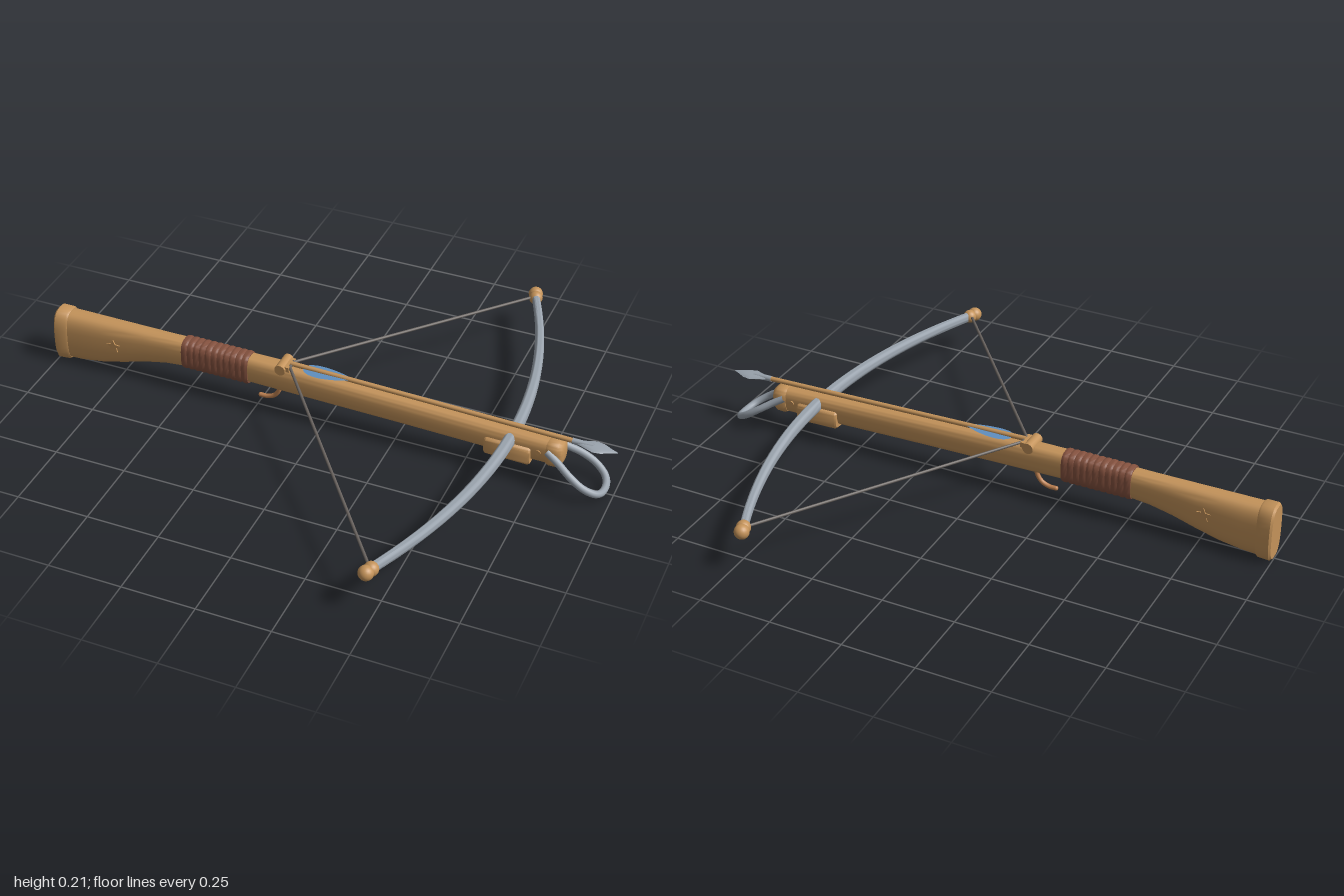
import * as THREE from 'three';
import { toCreasedNormals } from 'three/addons/utils/BufferGeometryUtils.js';

const material = (name, color, side = THREE.FrontSide) => {
  const m = new THREE.MeshStandardMaterial({ color, side });
  m.name = name;
  return m;
};
const V = (x, y, z) => new THREE.Vector3(x, y, z);

// Loft of rounded-rectangle sections along x; each row is [x, bottom, top, halfWidth]
function loft(rows, power = 3, sides = 32) {
  const pos = [], idx = [];
  const soft = (v) => Math.sign(v) * Math.pow(Math.abs(v), 2 / power);
  for (const [x, bottom, top, half] of rows) {
    for (let j = 0; j < sides; j++) {
      const a = (j / sides) * Math.PI * 2;
      pos.push(x, (bottom + top) / 2 + soft(Math.cos(a)) * (top - bottom) / 2, soft(Math.sin(a)) * half);
    }
  }
  const last = rows.length - 1;
  for (const r of [rows[0], rows[last]]) pos.push(r[0], (r[1] + r[2]) / 2, 0);
  const c0 = rows.length * sides, c1 = c0 + 1;
  for (let j = 0; j < sides; j++) {
    const k = (j + 1) % sides;
    for (let i = 0; i < last; i++) {
      const a = i * sides + j, b = i * sides + k;
      idx.push(a, b, a + sides, b, b + sides, a + sides);
    }
    idx.push(c0, k, j, c1, last * sides + j, last * sides + k);
  }
  const g = new THREE.BufferGeometry();
  g.setAttribute('position', new THREE.Float32BufferAttribute(pos, 3));
  g.setIndex(idx);
  return toCreasedNormals(g, 0.7);
}

// Straight round bar between two points
function bar(a, b, radius) {
  const g = new THREE.CylinderGeometry(radius, radius, a.distanceTo(b), 12);
  const q = new THREE.Quaternion().setFromUnitVectors(V(0, 1, 0), b.clone().sub(a).normalize());
  const mid = a.clone().add(b).multiplyScalar(0.5);
  return g.applyQuaternion(q).translate(mid.x, mid.y, mid.z);
}

const tube = (points, radius, n = 48) =>
  new THREE.TubeGeometry(new THREE.CatmullRomCurve3(points), n, radius, 10);

export function createModel() {
  const group = new THREE.Group();
  const wood = material('wood', 0xc4935a);
  const leather = material('leather', 0x85523f);
  const steel = material('steel', 0x9aa3ad);
  const cord = material('cord', 0x68625e);
  const blue = material('feather blue', 0x5f8fc0, THREE.DoubleSide);
  const copper = material('copper', 0xbd8050);
  const add = (name, geometry, mat) => {
    const mesh = new THREE.Mesh(geometry, mat);
    mesh.name = name;
    group.add(mesh);
    return mesh;
  };

  // Stock, butt plate, fore block and nose cap
  add('stock', loft([
    [-0.97, 0.01, 0.195, 0.048], [-0.9, 0.014, 0.195, 0.047], [-0.82, 0.026, 0.195, 0.045],
    [-0.74, 0.047, 0.195, 0.042], [-0.66, 0.071, 0.195, 0.039], [-0.58, 0.088, 0.195, 0.036],
    [-0.5, 0.096, 0.196, 0.035], [-0.27, 0.098, 0.197, 0.035], [-0.12, 0.096, 0.196, 0.037],
    [0.3, 0.088, 0.183, 0.037], [0.6, 0.08, 0.173, 0.037], [0.8, 0.078, 0.166, 0.036],
  ]), wood);
  add('buttPlate', loft([
    [-1, 0.008, 0.194, 0.046], [-0.993, 0.001, 0.201, 0.052],
    [-0.955, 0.004, 0.201, 0.052], [-0.948, 0.01, 0.197, 0.048],
  ]), wood);
  add('foreBlock', loft([
    [0.57, 0.076, 0.134, 0.046], [0.576, 0.071, 0.138, 0.05],
    [0.72, 0.067, 0.135, 0.05], [0.726, 0.071, 0.131, 0.046],
  ], 5), wood);
  add('noseCap', loft([
    [0.775, 0.078, 0.166, 0.038], [0.785, 0.073, 0.169, 0.043],
    [0.812, 0.074, 0.168, 0.043], [0.825, 0.082, 0.16, 0.036], [0.83, 0.095, 0.147, 0.024],
  ]), wood);

  // Ribbed grip wrap
  const wrapRows = [];
  const ribs = 11;
  for (let i = 0; i <= ribs * 4; i++) {
    const swell = 0.003 * Math.abs(Math.sin((i / 4) * Math.PI));
    wrapRows.push([-0.515 + (0.245 * i) / (ribs * 4), 0.092 - swell, 0.2 + swell, 0.038 + swell]);
  }
  add('gripWrap', loft(wrapRows), leather);

  // Bow limbs: a tapered loft turned across the stock and bent backward
  const bend = (z) => 0.652 - 0.18 * (z / 0.78) ** 2;
  const limbRows = [];
  for (let i = 0; i <= 32; i++) {
    const t = -0.78 + (1.56 * i) / 32;
    const s = 1 - 0.25 * Math.abs(t / 0.78);
    limbRows.push([t, 0.142 - 0.024 * s, 0.142 + 0.024 * s, 0.02 * s]);
  }
  const bow = loft(limbRows, 2.2, 20).rotateY(Math.PI / 2);
  const p = bow.attributes.position;
  for (let i = 0; i < p.count; i++) p.setX(i, p.getX(i) + bend(p.getZ(i)));
  add('bow', bow, steel);

  // Nut holding the string
  add('nut', new THREE.CylinderGeometry(0.019, 0.019, 0.076, 20).rotateX(Math.PI / 2).translate(-0.15, 0.192, 0), wood);
  add('nutBlock', new THREE.BoxGeometry(0.04, 0.018, 0.06).translate(-0.14, 0.196, 0), wood);

  // Mirrored details: limb tips, strings, pins, stars, feathers
  const star = new THREE.Shape();
  for (let i = 0; i < 10; i++) {
    const a = Math.PI / 2 + (i * Math.PI) / 5, r = i % 2 ? 0.012 : 0.026;
    star[i ? 'lineTo' : 'moveTo'](r * Math.cos(a), r * Math.sin(a));
  }
  const starGeo = new THREE.ExtrudeGeometry(star, { depth: 0.006, bevelEnabled: false });
  const feather = new THREE.Shape();
  feather.moveTo(-0.08, 0);
  feather.bezierCurveTo(-0.075, 0.045, 0.02, 0.042, 0.11, 0);
  for (const s of [1, -1]) {
    add('limbTipInner', new THREE.SphereGeometry(0.024, 20, 14).translate(0.475, 0.142, s * 0.775), wood);
    add('limbTipOuter', new THREE.SphereGeometry(0.025, 20, 14).translate(0.467, 0.142, s * 0.798), wood);
    add('string', bar(V(0.466, 0.145, s * 0.77), V(-0.122, 0.2, s * 0.016), 0.005), cord);
    add('pin', new THREE.CylinderGeometry(0.009, 0.009, 0.006, 14).rotateX(Math.PI / 2).translate(0.75, 0.125, s * 0.037), wood);
    const emblem = add('starStud', starGeo, wood);
    emblem.position.set(-0.77, 0.122, s * 0.0425);
    if (s < 0) emblem.rotation.y = Math.PI;
    emblem.translateZ(-0.002);
    const vane = add('feather', new THREE.ShapeGeometry(feather, 16), blue);
    vane.position.set(0, 0.201, 0);
    vane.rotation.x = s * (Math.PI / 2 + 0.12);
    vane.rotation.z = -0.02;
  }
  add('stringCentre', bar(V(-0.122, 0.2, -0.018), V(-0.122, 0.2, 0.018), 0.006), cord);

  // Bolt with a leaf-shaped head
  add('boltShaft', bar(V(-0.125, 0.204, 0), V(0.87, 0.178, 0), 0.0085), wood);
  add('boltSocket', bar(V(0.85, 0.178, 0), V(0.92, 0.176, 0), 0.01), steel);
  add('boltHead', loft([
    [0.86, 0.17, 0.184, 0.007], [0.89, 0.168, 0.184, 0.018], [0.925, 0.168, 0.183, 0.031],
    [0.95, 0.168, 0.181, 0.026], [0.98, 0.17, 0.178, 0.01], [1, 0.1735, 0.1745, 0.001],
  ], 1.5, 16), steel);

  // Foot stirrup
  const half = [V(0.78, 0.138, 0.038), V(0.82, 0.115, 0.05), V(0.87, 0.085, 0.069), V(0.915, 0.056, 0.073), V(0.952, 0.032, 0.055), V(0.967, 0.021, 0.025)];
  const mirrored = half.map((v) => V(v.x, v.y, -v.z)).reverse();
  add('stirrup', tube([...half, ...mirrored], 0.0125, 72), steel);

  // Curved trigger
  add('trigger', tube([V(-0.165, 0.11, 0), V(-0.17, 0.08, 0), V(-0.186, 0.056, 0), V(-0.212, 0.044, 0), V(-0.238, 0.043, 0)], 0.008, 28), copper);
  add('triggerTip', new THREE.SphereGeometry(0.008, 12, 8).translate(-0.238, 0.043, 0), copper);

  return group;
}
